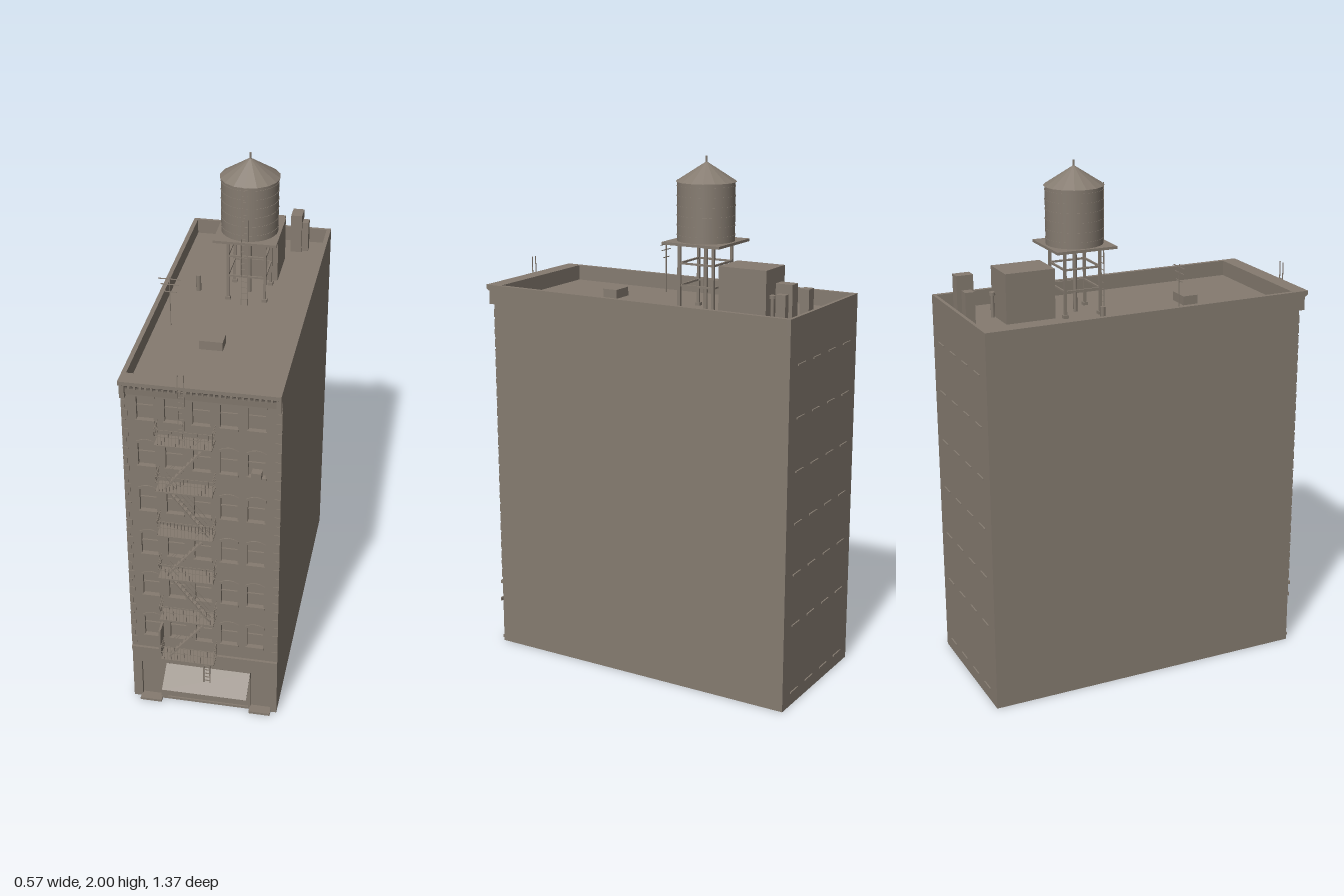
import * as THREE from 'three';

export function createModel() {
  const root = new THREE.Group();
  const stone = new THREE.MeshStandardMaterial({ color: 0x857b70, side: THREE.DoubleSide, flatShading: false });
  stone.name = 'warm grey stone';

  // --- helpers ---
  const group = (name, parent = root) => {
    const g = new THREE.Group();
    g.name = name;
    parent.add(g);
    return g;
  };
  const add = (parent, name, geo, x = 0, y = 0, z = 0) => {
    const m = new THREE.Mesh(geo, stone);
    m.name = name;
    m.position.set(x, y, z);
    parent.add(m);
    return m;
  };
  // box given by its limits on each axis
  const block = (parent, name, x0, x1, y0, y1, z0, z1) =>
    add(parent, name, new THREE.BoxGeometry(x1 - x0, y1 - y0, z1 - z0), (x0 + x1) / 2, (y0 + y1) / 2, (z0 + z1) / 2);
  // thin square bar between two points
  const bar = (parent, name, a, b, t = 0.004) => {
    const p = new THREE.Vector3(...a), q = new THREE.Vector3(...b);
    const m = add(parent, name, new THREE.BoxGeometry(t, t, p.distanceTo(q)));
    m.position.copy(p).add(q).multiplyScalar(0.5);
    m.lookAt(q);
    return m;
  };
  const cyl = (parent, name, r0, r1, h, x, y, z, n = 12) =>
    add(parent, name, new THREE.CylinderGeometry(r0, r1, h, n), x, y + h / 2, z);

  const W = 0.285, TOP = 1.485, ROOF = 1.425, FRONT = 0.596, BACK = -0.68;
  const columns = [-0.2, -0.1, 0, 0.098, 0.197];
  const floors = [0.325, 0.525, 0.722, 0.92, 1.12, 1.315];

  // --- shell, open underneath ---
  const shell = group('buildingShell');
  for (const s of [-1, 1]) {
    const wall = add(shell, 'sideWall', new THREE.PlaneGeometry(FRONT - BACK, TOP), s * W, TOP / 2, (FRONT + BACK) / 2);
    wall.rotation.y = s * Math.PI / 2;
    block(shell, 'sideParapet', s < 0 ? -W : 0.268, s < 0 ? -0.268 : W, ROOF, TOP, BACK, FRONT);
  }
  add(shell, 'backWall', new THREE.PlaneGeometry(2 * W, TOP), 0, TOP / 2, BACK).rotation.y = Math.PI;
  block(shell, 'backParapet', -W, W, ROOF, TOP, BACK, -0.667);
  block(shell, 'frontParapet', -W, W, ROOF, TOP, 0.57, FRONT);
  add(shell, 'roof', new THREE.PlaneGeometry(2 * W, FRONT - BACK), 0, ROOF, (FRONT + BACK) / 2).rotation.x = -Math.PI / 2;

  // --- front wall with openings ---
  const facade = group('facade');
  const face = new THREE.Shape([[-W, 0], [W, 0], [W, ROOF], [-W, ROOF]].map(p => new THREE.Vector2(...p)));
  const rectHole = (x0, x1, y0, y1) =>
    face.holes.push(new THREE.Path([[x0, y0], [x0, y1], [x1, y1], [x1, y0]].map(p => new THREE.Vector2(...p))));
  const hw = 0.031;
  for (const y of floors) for (const x of columns) {
    const hole = new THREE.Path();
    hole.moveTo(x - hw, y);
    hole.lineTo(x - hw, y + 0.094);
    hole.quadraticCurveTo(x, y + 0.116, x + hw, y + 0.094);
    hole.lineTo(x + hw, y);
    hole.closePath();
    face.holes.push(hole);
  }
  rectHole(-0.25, -0.175, 0.01, 0.18);
  rectHole(-0.15, 0.172, 0.01, 0.19);
  rectHole(0.18, 0.26, 0.01, 0.19);
  add(facade, 'frontWall', new THREE.ExtrudeGeometry(face, { depth: 0.016, bevelEnabled: false, curveSegments: 4 }), 0, 0, FRONT - 0.016);

  // --- windows ---
  const windows = group('windows');
  for (const y of floors) for (const x of columns) {
    add(windows, 'pane', new THREE.PlaneGeometry(0.066, 0.112), x, y + 0.054, 0.581);
    block(windows, 'meetingRail', x - hw, x + hw, y + 0.05, y + 0.056, 0.581, 0.587);
    block(windows, 'sill', x - 0.035, x + 0.035, y - 0.009, y, 0.59, 0.601);
    const arch = new THREE.Shape();
    arch.moveTo(x - 0.036, y + 0.092);
    arch.lineTo(x - 0.036, y + 0.102);
    arch.quadraticCurveTo(x, y + 0.126, x + 0.036, y + 0.102);
    arch.lineTo(x + 0.036, y + 0.092);
    arch.lineTo(x + hw, y + 0.094);
    arch.quadraticCurveTo(x, y + 0.116, x - hw, y + 0.094);
    add(windows, 'lintel', new THREE.ExtrudeGeometry(arch, { depth: 0.004, bevelEnabled: false, curveSegments: 4 }), 0, 0, FRONT);
  }
  block(windows, 'airConditioner', 0.18, 0.216, 1.12, 1.145, 0.58, 0.612);
  for (const y of [0.055, ...floors]) for (const x of [-0.192, -0.065, 0.065, 0.192])
    block(windows, 'backSill', x - 0.031, x + 0.031, y - 0.006, y, BACK - 0.005, BACK);

  // --- corner stones ---
  for (let i = 0; i < 28; i++) for (const s of [-1, 1]) {
    const w = i % 2 ? 0.014 : 0.022, y = 0.28 + i * 0.04;
    block(facade, 'cornerStone', s < 0 ? -W : W - w, s < 0 ? -W + w : W, y, y + 0.032, FRONT, FRONT + 0.003);
  }

  // --- cornice ---
  const cornice = group('cornice');
  const profile = new THREE.Shape();
  profile.moveTo(0.59, 1.42);
  profile.lineTo(0.606, 1.42);
  profile.lineTo(0.608, 1.445);
  profile.quadraticCurveTo(0.612, 1.46, 0.624, 1.464);
  profile.lineTo(0.633, 1.47);
  profile.lineTo(0.633, TOP);
  profile.lineTo(0.59, TOP);
  const molding = add(cornice, 'molding', new THREE.ExtrudeGeometry(profile, { depth: 2 * W, bevelEnabled: false, curveSegments: 5 }), W, 0, 0);
  molding.rotation.y = -Math.PI / 2;
  for (const s of [-1, 1]) block(cornice, 'endBracket', s * 0.275 - 0.009, s * 0.275 + 0.009, 1.41, 1.465, FRONT, 0.62);
  for (let x = -0.25; x < 0.26; x += 0.02) block(cornice, 'dentil', x - 0.004, x + 0.004, 1.447, 1.458, 0.6, 0.616);

  // --- shop front ---
  const shop = group('shopFront');
  block(shop, 'beltCourse', -W, W, 0.25, 0.263, FRONT, 0.606);
  block(shop, 'doorPanel', -0.252, -0.172, 0, 0.182, 0.574, 0.581);
  block(shop, 'sideDoorPanel', 0.178, 0.262, 0, 0.192, 0.574, 0.581);
  block(shop, 'shopWindow', -0.152, 0.174, 0, 0.192, 0.574, 0.581);
  block(shop, 'bulkhead', -0.15, 0.172, 0, 0.04, 0.581, 0.59);
  for (const x of [-0.146, -0.04, 0.066, 0.168]) block(shop, 'mullion', x - 0.004, x + 0.004, 0.01, 0.19, 0.581, 0.59);
  block(shop, 'doorStep', -0.255, -0.17, 0, 0.01, 0.58, 0.62);
  block(shop, 'sideDoorStep', 0.178, 0.262, 0, 0.01, 0.58, 0.62);
  bar(shop, 'awningSlope', [0.015, 0.187, 0.597], [0.015, 0.131, 0.688], 0.004).scale.x = 0.33 / 0.004;
  block(shop, 'awningValance', -0.15, 0.18, 0.118, 0.132, 0.685, 0.689);
  block(shop, 'bladeSign', -0.163, -0.155, 0.285, 0.405, 0.606, 0.663);

  // --- fire escape ---
  const escape = group('fireEscape');
  const x0 = -0.155, x1 = 0.05, zf = 0.662, decks = [0.27, 0.468, 0.668, 0.865, 1.062, 1.26];
  for (const y of decks) {
    block(escape, 'deck', x0, x1, y - 0.006, y, 0.597, 0.665);
    for (const h of [0.035, 0.062]) {
      bar(escape, 'frontRail', [x0, y + h, zf], [x1, y + h, zf], 0.002);
      for (const x of [x0, x1]) bar(escape, 'endRail', [x, y + h, 0.597], [x, y + h, zf], 0.002);
    }
    for (let i = 0; i <= 16; i++) {
      const x = x0 + (x1 - x0) * i / 16;
      bar(escape, 'baluster', [x, y, zf], [x, y + 0.062, zf], 0.0018);
    }
    for (const z of [0.615, 0.632, 0.648]) for (const x of [x0, x1])
      bar(escape, 'endBaluster', [x, y, z], [x, y + 0.062, z], 0.0018);
  }
  for (let i = 0; i < 5; i++) {
    const up = i % 2 ? -0.125 : 0.03, dn = i % 2 ? 0.03 : -0.125;
    const yb = decks[i], yt = decks[i + 1];
    for (const z of [0.62, 0.645]) {
      bar(escape, 'stringer', [dn, yb, z], [up, yt, z], 0.005);
      bar(escape, 'handrail', [dn, yb + 0.055, z], [up, yt + 0.055, z], 0.002);
    }
    for (let k = 1; k < 11; k++) {
      const x = dn + (up - dn) * k / 11, y = yb + (yt - yb) * k / 11;
      block(escape, 'tread', x - 0.006, x + 0.006, y - 0.001, y + 0.001, 0.62, 0.645);
    }
  }
  for (const x of [0.008, 0.032]) bar(escape, 'dropLadderRail', [x, 0.165, 0.65], [x, 0.27, 0.65]);
  for (let y = 0.175; y < 0.27; y += 0.018) bar(escape, 'dropLadderRung', [0.008, y, 0.65], [0.032, y, 0.65], 0.003);
  for (const x of [-0.07, -0.048]) bar(escape, 'roofLadderRail', [x, 1.26, 0.65], [x, 1.545, 0.65], 0.003);
  for (let y = 1.28; y < 1.5; y += 0.022) bar(escape, 'roofLadderRung', [-0.07, y, 0.65], [-0.048, y, 0.65], 0.002);

  // --- water tower ---
  const tower = group('waterTower'), cx = 0.03, cz = -0.2, leg = 0.071;
  cyl(tower, 'tank', 0.108, 0.108, 0.22, cx, 1.69, cz, 32);
  for (let i = 0; i < 6; i++) cyl(tower, 'hoop', 0.1095, 0.1095, 0.004, cx, 1.71 + i * 0.036, cz, 32);
  const coneGeo = new THREE.ConeGeometry(0.114, 0.073, 16).toNonIndexed();
  coneGeo.computeVertexNormals();
  add(tower, 'conicalRoof', coneGeo, cx, 1.944, cz);
  cyl(tower, 'finial', 0.004, 0.004, 0.03, cx, 1.97, cz, 8);
  block(tower, 'platform', cx - 0.12, cx + 0.12, 1.68, 1.69, cz - 0.12, cz + 0.12);
  const corners = [[-1, -1], [1, -1], [1, 1], [-1, 1]].map(([a, b]) => [cx + a * leg, cz + b * leg]);
  corners.forEach(([x, z], i) => {
    const [nx, nz] = corners[(i + 1) % 4];
    bar(tower, 'leg', [x, ROOF, z], [x, 1.68, z], 0.01);
    block(tower, 'foot', x - 0.01, x + 0.01, ROOF, ROOF + 0.012, z - 0.01, z + 0.01);
    for (const y of [1.525, 1.608]) bar(tower, 'brace', [x, y, z], [nx, y, nz], 0.007);
  });
  cyl(tower, 'feedPipe', 0.008, 0.008, 1.68 - ROOF, cx, ROOF, cz, 10);
  for (const x of [0.018, 0.042]) bar(tower, 'ladderRail', [x, ROOF, -0.086], [x, 1.91, -0.086], 0.003);
  for (let y = 1.45; y < 1.9; y += 0.025) bar(tower, 'ladderRung', [0.018, y, -0.086], [0.042, y, -0.086], 0.002);

  // --- rooftop fittings ---
  const fittings = group('rooftopFittings');
  block(fittings, 'stairHouse', -0.026, 0.123, ROOF, 1.615, -0.5, -0.305);
  block(fittings, 'hatch', -0.073, 0.014, ROOF, 1.46, 0.207, 0.268);
  block(fittings, 'tallChimney', 0.135, 0.179, ROOF, 1.585, -0.632, -0.596 + 0.03);
  block(fittings, 'lowChimney', 0.162, 0.204, ROOF, 1.55, -0.617, -0.58);
  block(fittings, 'smallChimney', 0.019, 0.059, ROOF, 1.55, -0.64, -0.603);
  cyl(fittings, 'ventPipe', 0.01, 0.01, 0.065, -0.165, ROOF, -0.175);
  cyl(fittings, 'rearVentPipe', 0.007, 0.007, 0.085, 0.09, ROOF, -0.51);
  cyl(fittings, 'rearVentCap', 0.012, 0.012, 0.012, 0.09, 1.51, -0.51);

  // --- aerial ---
  const aerial = group('aerial');
  bar(aerial, 'mast', [-0.212, ROOF, 0.115], [-0.212, 1.628, 0.115], 0.003);
  [[1.618, 0.043], [1.596, 0.034], [1.566, 0.024]].forEach(([y, r]) =>
    bar(aerial, 'crossbar', [-0.212 - r, y, 0.115], [-0.212 + r, y, 0.115], 0.003));

  return root;
}
